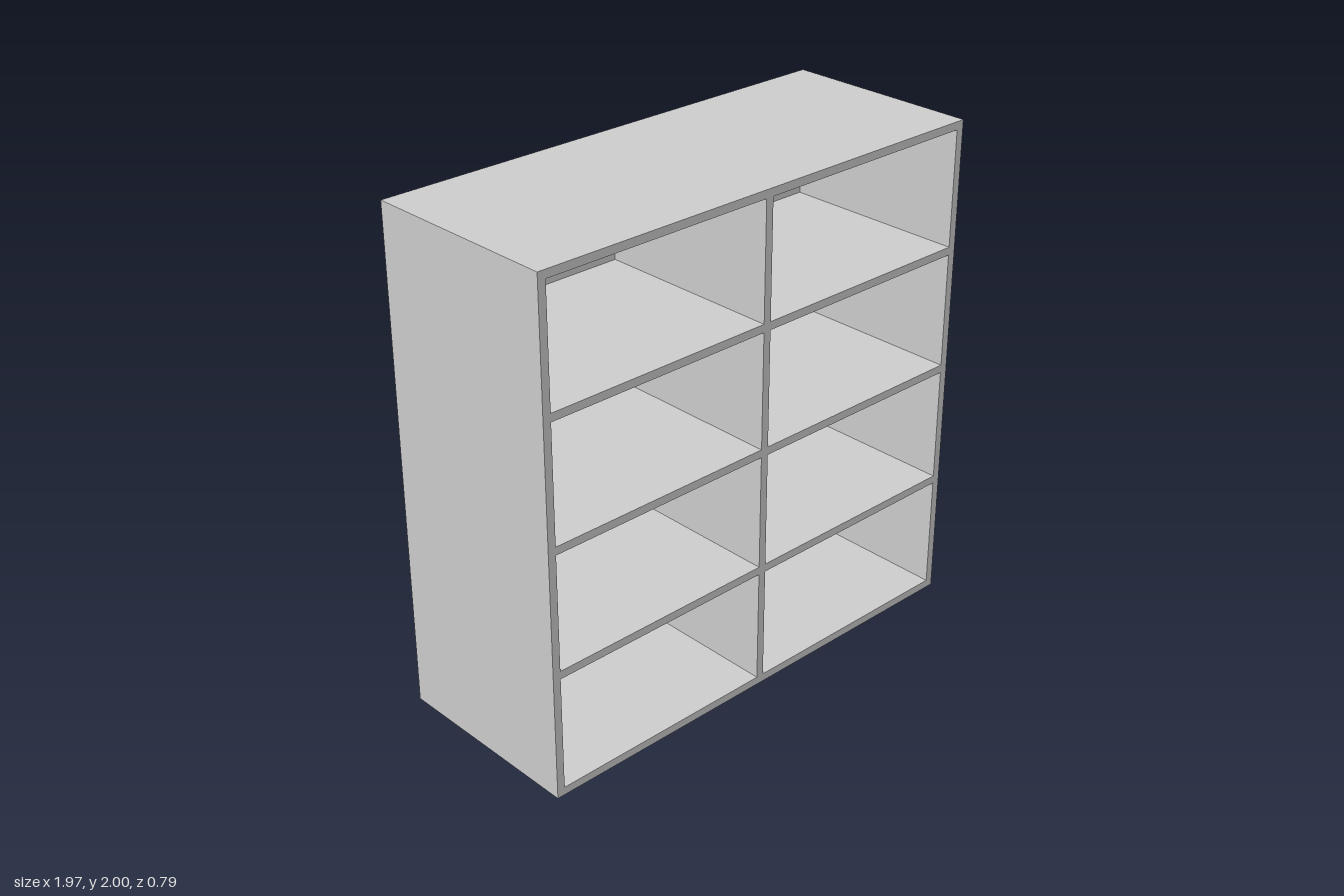
import * as THREE from 'three';

const W = 1.966, BOTTOM = 0.032, TOP = 2, D = 0.79; // cabinet envelope
const T = 0.0315;                                   // board thickness
const COLS = 2, ROWS = 4;

function rectangle(target, x, y, w, h) {
  target.moveTo(x, y);
  target.lineTo(x + w, y);
  target.lineTo(x + w, y + h);
  target.lineTo(x, y + h);
  target.closePath();
  return target;
}

export function createModel() {
  const model = new THREE.Group();
  model.name = 'shelvingCabinet';
  const material = new THREE.MeshStandardMaterial({ color: 0xcccccc });

  function add(name, geometry, x, y, z, parent = model) {
    const mesh = new THREE.Mesh(geometry, material);
    mesh.name = name;
    mesh.position.set(x, y, z);
    parent.add(mesh);
    return mesh;
  }

  // Carcass: outer frame, divider and shelves, with one hole per compartment
  const H = TOP - BOTTOM;
  const cellW = (W - T * (COLS + 1)) / COLS;
  const cellH = (H - T * (ROWS + 1)) / ROWS;
  const frame = rectangle(new THREE.Shape(), -W / 2, BOTTOM, W, H);
  for (let c = 0; c < COLS; c++) {
    for (let r = 0; r < ROWS; r++) {
      const x = -W / 2 + T + c * (cellW + T);
      const y = BOTTOM + T + r * (cellH + T);
      frame.holes.push(rectangle(new THREE.Path(), x, y, cellW, cellH));
    }
  }
  const carcass = new THREE.ExtrudeGeometry(frame, { depth: D - T, bevelEnabled: false });
  add('carcass', carcass, 0, 0, -D / 2 + T);

  // Back panel closing the compartments
  add('backPanel', new THREE.BoxGeometry(W, H, T), 0, BOTTOM + H / 2, -D / 2 + T / 2);

  // Two round levelling feet under the front edge
  const pad = new THREE.CylinderGeometry(0.048, 0.048, 0.026, 32);
  const stem = new THREE.CylinderGeometry(0.018, 0.018, 0.01, 24);
  for (const side of [-1, 1]) {
    const foot = new THREE.Group();
    foot.name = side < 0 ? 'rightFoot' : 'leftFoot';
    foot.position.set(side * 0.885, 0, 0.297);
    add('footPad', pad, 0, 0.013, 0, foot);
    add('footStem', stem, 0, 0.029, 0, foot);
    model.add(foot);
  }

  return model;
}
